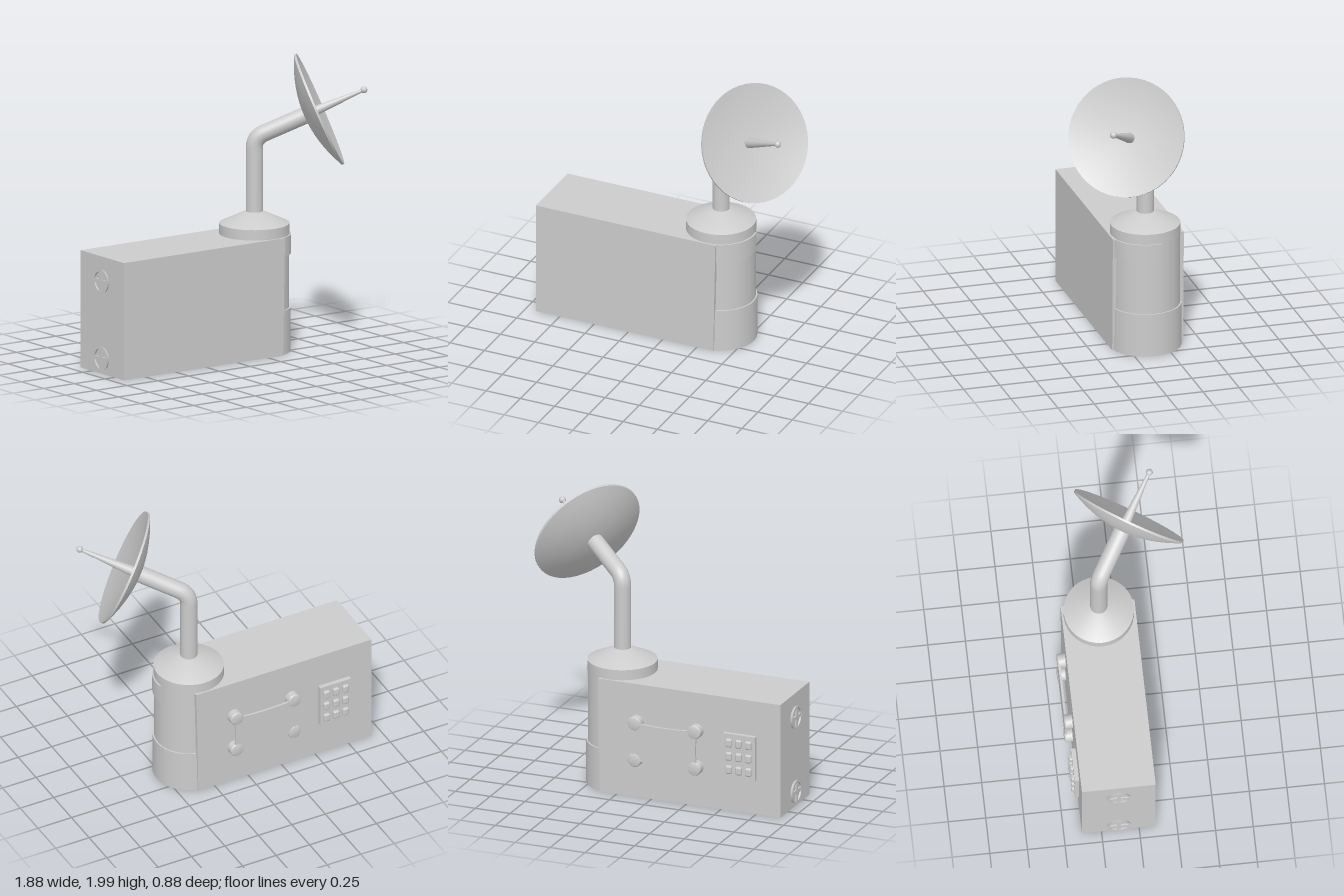
import * as THREE from 'three';
import { toCreasedNormals } from 'three/addons/utils/BufferGeometryUtils.js';
import { RoundedBoxGeometry } from 'three/addons/geometries/RoundedBoxGeometry.js';

const CX = 0.312, CZ = -0.135; // axis of the mast and the rounded end
const V = (x, y, z) => new THREE.Vector3(x, y, z);

export function createModel() {
  const model = new THREE.Group();
  const mat = new THREE.MeshStandardMaterial({ color: 0xcccccc });
  const add = (name, geo, x = 0, y = 0, z = 0, parent = model) => {
    const mesh = new THREE.Mesh(geo, mat);
    mesh.name = name;
    mesh.position.set(x, y, z);
    parent.add(mesh);
    return mesh;
  };
  const group = (name, x, y, z) => {
    const g = new THREE.Group();
    g.name = name;
    g.position.set(x, y, z);
    model.add(g);
    return g;
  };
  const lathe = (pts, seg = 32) => toCreasedNormals(
    new THREE.LatheGeometry(pts.map(([r, y]) => new THREE.Vector2(r, y)), seg), 0.45);

  // Housing with a slightly leaning right edge
  const side = new THREE.Shape([[-0.925, 0], [0.37, 0], [0.385, 0.793], [-0.925, 0.793]]
    .map(([x, y]) => new THREE.Vector2(x, y)));
  add('housing', new THREE.ExtrudeGeometry(side, { depth: 0.49, bevelEnabled: false }), 0, 0, -0.38);

  // Rounded end: column, lower sleeve and upper front band
  add('column', new THREE.CylinderGeometry(0.23, 0.23, 0.79, 32), CX, 0.396, CZ);
  add('lowerSleeve', new THREE.CylinderGeometry(0.24, 0.24, 0.297, 32), CX, 0.1485, CZ);
  const band = new THREE.Shape();
  band.absarc(0, 0, 0.243, -1.32, 0.184, false);
  band.absarc(0, 0, 0.225, 0.184, -1.32, true);
  const bandGeo = new THREE.ExtrudeGeometry(band, { depth: 0.13, bevelEnabled: false, curveSegments: 16 });
  bandGeo.rotateX(-Math.PI / 2);
  add('upperBand', toCreasedNormals(bandGeo, 0.4), CX, 0.662, CZ);

  // Conical cap under the mast
  add('mastCap', lathe([[0, 0.79], [0.233, 0.79], [0.233, 0.863], [0.06, 0.943], [0, 0.943]]), CX, 0, CZ);

  // Bent mast
  const dir = V(0.763, 0.4, 0.508).normalize();
  const elbow = V(CX, 1.44, CZ);
  const along = t => elbow.clone().addScaledVector(dir, t);
  const path = new THREE.CurvePath();
  path.add(new THREE.LineCurve3(V(CX, 0.92, CZ), V(CX, 1.37, CZ)));
  path.add(new THREE.QuadraticBezierCurve3(V(CX, 1.37, CZ), elbow, along(0.07)));
  path.add(new THREE.LineCurve3(along(0.07), along(0.375)));
  add('mast', new THREE.TubeGeometry(path, 60, 0.057, 24, false));

  // Dish, feed horn and tip share one tilted axis
  const antenna = group('antenna', elbow.x, elbow.y, elbow.z);
  antenna.quaternion.setFromUnitVectors(V(0, 1, 0), dir);
  const R = 0.397, profile = [];
  for (let i = 0; i <= 8; i++) profile.push([R * i / 8, 0.36 + 0.1 * (i / 8) ** 2]);
  profile.push([R, 0.475], [0, 0.385]);
  add('dish', lathe(profile, 48), 0, 0, 0, antenna);
  add('feedHorn', new THREE.CylinderGeometry(0.01, 0.036, 0.41, 20), 0, 0.585, 0, antenna);
  add('feedTip', new THREE.SphereGeometry(0.023, 16, 12), 0, 0.79, 0, antenna);

  // Framed panel on the back, held by four round posts
  const panel = group('backPanel', -0.11, 0.402, -0.38);
  const post = lathe([[0, -0.02], [0.048, -0.02], [0.048, 0.045], [0.044, 0.052], [0.036, 0.055], [0, 0.055]], 24);
  post.rotateX(-Math.PI / 2);
  for (const sx of [-1, 1]) for (const sy of [-1, 1])
    add('panelPost', post, sx * 0.215, sy * 0.128, 0, panel);
  const sheet = new THREE.Shape();
  sheet.moveTo(-0.235, -0.14);
  sheet.quadraticCurveTo(0, -0.11, 0.235, -0.14);
  sheet.quadraticCurveTo(0.215, 0, 0.235, 0.14);
  sheet.quadraticCurveTo(0, 0.11, -0.235, 0.14);
  sheet.quadraticCurveTo(-0.215, 0, -0.235, -0.14);
  add('panelSheet', toCreasedNormals(
    new THREE.ExtrudeGeometry(sheet, { depth: 0.015, bevelEnabled: false }), 0.5), 0, 0, -0.05, panel);

  // Keypad
  const keypad = group('keypad', -0.64, 0.395, -0.38);
  add('keypadPlate', new THREE.BoxGeometry(0.23, 0.31, 0.06), 0, 0, 0, keypad);
  const key = new RoundedBoxGeometry(0.045, 0.058, 0.04, 2, 0.012);
  for (let i = -1; i <= 1; i++) for (let j = -1; j <= 1; j++)
    add('key', key, i * 0.07, j * 0.094, -0.03, keypad);

  // Two flared round fittings with a cross on the left-hand end
  const ring = lathe([[0.076, -0.01], [0.076, 0], [0.084, 0.018], [0.066, 0.018], [0.066, 0.006], [0, 0.006]]);
  ring.rotateZ(Math.PI / 2);
  for (const y of [0.105, 0.627]) {
    const fitting = group('endFitting', -0.925, y, CZ);
    add('fittingRing', ring, 0, 0, 0, fitting);
    for (const a of [0, Math.PI / 2])
      add('fittingCross', new THREE.BoxGeometry(0.016, 0.14, 0.026), -0.008, 0, 0, fitting).rotation.x = a;
  }
  return model;
}
